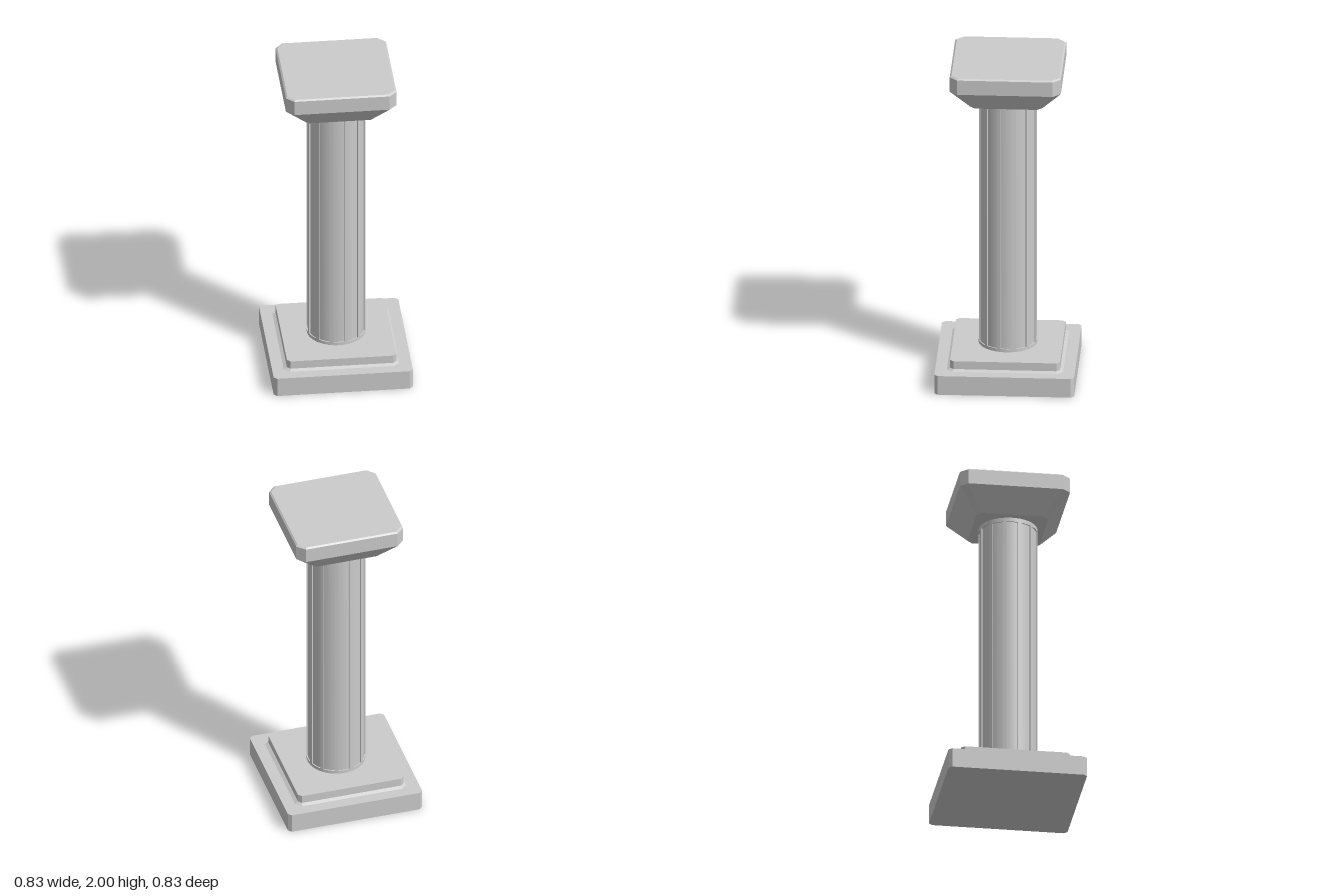
import * as THREE from 'three';
import { toCreasedNormals } from 'three/addons/utils/BufferGeometryUtils.js';

const material = new THREE.MeshStandardMaterial({ color: 0xcccccc });

function addMesh(group, name, geometry) {
  const mesh = new THREE.Mesh(geometry, material);
  mesh.name = name;
  group.add(mesh);
}

// Square block with cut corners, lofted through rings of [y, half width, corner cut]
function cutCornerBlock(rings) {
  const positions = [];
  const index = [];
  for (const [y, h, c] of rings) {
    const k = h - c;
    const outline = [[h, k], [k, h], [-k, h], [-h, k], [-h, -k], [-k, -h], [k, -h], [h, -k]];
    for (const [x, z] of outline) positions.push(x, y, z);
  }
  for (let r = 0; r < rings.length - 1; r++) {
    for (let i = 0; i < 8; i++) {
      const a = r * 8 + i;
      const b = r * 8 + (i + 1) % 8;
      index.push(a, a + 8, b, b, a + 8, b + 8);
    }
  }
  // Bottom and top caps
  const top = (rings.length - 1) * 8;
  for (let i = 1; i < 7; i++) {
    index.push(0, i, i + 1);
    index.push(top, top + i + 1, top + i);
  }
  const geometry = new THREE.BufferGeometry();
  geometry.setAttribute('position', new THREE.Float32BufferAttribute(positions, 3));
  geometry.setIndex(index);
  return toCreasedNormals(geometry, 0.1);
}

// Shaft section: twelve shallow flutes separated by narrow ridges
function flutedShaft(radius, depth, height) {
  const flutes = 12;
  const step = (Math.PI * 2) / flutes;
  const ridge = THREE.MathUtils.degToRad(3.5);
  const points = [];
  const polar = (r, a) => points.push(new THREE.Vector2(r * Math.cos(a), r * Math.sin(a)));
  for (let i = 0; i < flutes; i++) {
    const a = (i + 0.5) * step;
    polar(radius, a - ridge);
    polar(radius, a + ridge);
    for (let j = 0; j <= 4; j++) {
      polar(radius - depth, a + ridge + (j / 4) * (step - 2 * ridge));
    }
  }
  const geometry = new THREE.ExtrudeGeometry(new THREE.Shape(points), {
    depth: height, bevelEnabled: false,
  });
  geometry.rotateX(-Math.PI / 2);
  return toCreasedNormals(geometry, 0.4);
}

export function createModel() {
  const column = new THREE.Group();
  column.name = 'column';

  // Stepped base
  addMesh(column, 'plinth', cutCornerBlock([[0, 0.415, 0.02], [0.12, 0.415, 0.02]]));
  addMesh(column, 'baseStep', cutCornerBlock([
    [0.12, 0.345, 0.035], [0.13, 0.326, 0.02], [0.18, 0.326, 0.02],
  ]));

  // Fluted shaft between two plain collars
  const shaft = flutedShaft(0.175, 0.007, 1.54);
  shaft.translate(0, 0.2, 0);
  addMesh(column, 'shaft', shaft);
  for (const [name, y] of [['lowerCollar', 0.19], ['upperCollar', 1.755]]) {
    const collar = new THREE.CylinderGeometry(0.175, 0.175, y > 1 ? 0.03 : 0.02, 48);
    collar.translate(0, y, 0);
    addMesh(column, name, collar);
  }

  // Flared capital with a softly bevelled top edge
  addMesh(column, 'capital', cutCornerBlock([
    [1.765, 0.215, 0.03], [1.775, 0.225, 0.035], [1.9, 0.33, 0.046],
    [1.992, 0.33, 0.046], [2, 0.32, 0.044],
  ]));

  return column;
}
